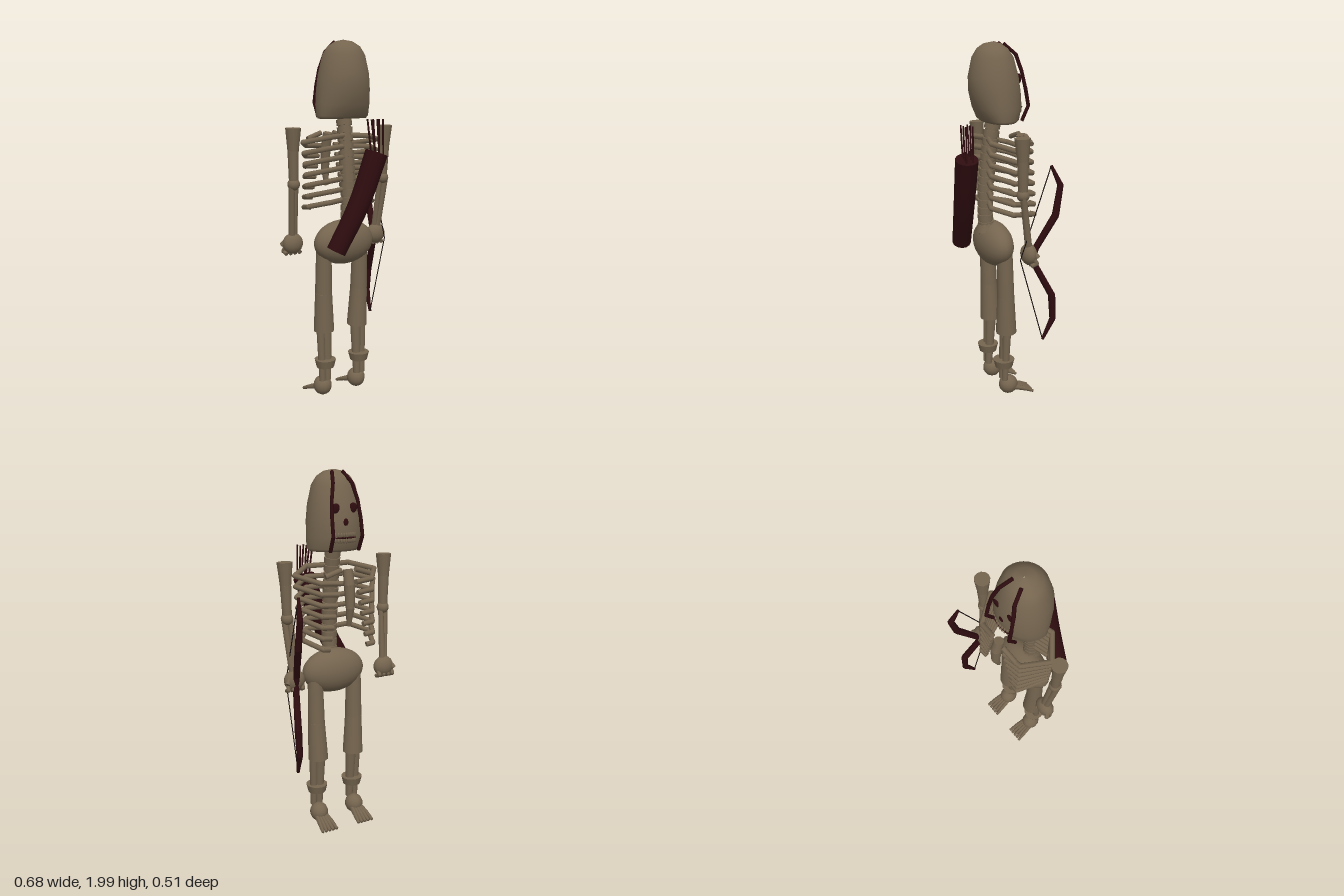
import * as THREE from 'three';
import { mergeGeometries, mergeVertices } from 'three/addons/utils/BufferGeometryUtils.js';

const boneMat = new THREE.MeshStandardMaterial({ color: 0x75654f });
boneMat.name = 'bone';
const darkMat = new THREE.MeshStandardMaterial({ color: 0x2e0c0f });
darkMat.name = 'dark leather';
const stringMat = new THREE.MeshStandardMaterial({ color: 0x18100e });
stringMat.name = 'string';

const UP = new THREE.Vector3(0, 1, 0);
const V = (p) => new THREE.Vector3(...p);

// tapered rod from a to b
function rod(a, b, ra, rb = ra, sides = 8) {
  const A = V(a), B = V(b), d = B.clone().sub(A);
  const g = new THREE.CylinderGeometry(rb, ra, d.length(), sides);
  g.applyQuaternion(new THREE.Quaternion().setFromUnitVectors(UP, d.normalize()));
  const m = A.add(B).multiplyScalar(0.5);
  return g.translate(m.x, m.y, m.z);
}

function ball(p, rx, ry = rx, rz = rx, seg = 14) {
  return new THREE.SphereGeometry(1, seg, Math.ceil(seg * 0.7)).scale(rx, ry, rz).translate(...p);
}

// rods through a list of points, with rounded joints
function chain(points, radii, sides = 8) {
  const r = (i) => (Array.isArray(radii) ? radii[i] : radii);
  const out = [];
  for (let i = 0; i < points.length - 1; i++) {
    out.push(rod(points[i], points[i + 1], r(i), r(i + 1), sides));
    if (i > 0) out.push(ball(points[i], r(i), r(i), r(i), sides));
  }
  return out;
}

export function createModel() {
  const group = new THREE.Group();
  const add = (name, geos, mat = boneMat) => {
    const mesh = new THREE.Mesh(mergeGeometries(geos), mat);
    mesh.name = name;
    group.add(mesh);
  };

  // skull: level = y, half width, back z, front z
  const levels = [
    [1.62, 0.002, 0.002, -0.002], [1.585, 0.145, 0.06, -0.115], [1.6, 0.155, 0.08, -0.13],
    [1.66, 0.154, 0.11, -0.145], [1.74, 0.15, 0.132, -0.14], [1.82, 0.14, 0.137, -0.128],
    [1.92, 0.118, 0.117, -0.1], [1.965, 0.09, 0.09, -0.07], [1.99, 0.05, 0.055, -0.035], [2, 0.002, 0.002, -0.002],
  ];
  let skull = new THREE.LatheGeometry(levels.map((l) => new THREE.Vector2(l[1], l[0])), 28);
  const sp = skull.attributes.position;
  for (let i = 0; i < sp.count; i++) {
    const [, rx, back, front] = levels[i % levels.length];
    const z = sp.getZ(i);
    sp.setZ(i, (z * (z > 0 ? back : -front)) / rx);
  }
  skull.deleteAttribute('uv');
  skull.deleteAttribute('normal');
  skull = mergeVertices(skull);
  skull.computeVertexNormals();
  add('skull', [skull]);

  // face: sockets, nose hole, mouth and two rows of teeth
  const face = [ball([0, 1.74, -0.139], 0.014, 0.02, 0.005)];
  for (const s of [-1, 1]) face.push(ball([0.05 * s, 1.81, -0.122], 0.024, 0.026, 0.008));
  add('eyeSocketsAndNose', face, darkMat);
  const teeth = [];
  for (let i = -4; i <= 4; i++) {
    const x = i * 0.014, z = -0.146 + x * x * 5;
    for (const y of [1.675, 1.645]) teeth.push(ball([x, y, z], 0.0065, 0.013, 0.007, 8));
  }
  add('teeth', teeth);
  add('mouth', [ball([0, 1.66, -0.137], 0.062, 0.006, 0.012)], darkMat);
  for (const s of [-1, 1]) {
    add('faceBand', chain([
      [0.03 * s, 1.99, -0.04], [0.055 * s, 1.935, -0.1], [0.075 * s, 1.85, -0.125],
      [0.083 * s, 1.76, -0.145], [0.085 * s, 1.67, -0.162], [0.083 * s, 1.59, -0.125],
    ], 0.01, 6), darkMat);
  }

  // spine of stacked vertebrae
  const spine = new THREE.CatmullRomCurve3([[0, 1.62, 0], [0, 1.45, 0.025], [0, 1.15, 0.052], [0, 0.95, 0.045]].map(V));
  const spineGeos = [];
  const N = 16;
  for (let i = 0; i < N; i++) {
    const a = spine.getPointAt(i / N).toArray(), b = spine.getPointAt((i + 0.75) / N).toArray();
    const c = spine.getPointAt((i + 1) / N).toArray();
    spineGeos.push(rod(a, b, 0.044, 0.044, 10), rod(b, c, 0.036, 0.036, 10));
  }
  add('spine', spineGeos);

  // ribs
  for (const s of [-1, 1]) {
    for (let i = 0; i < 7; i++) {
      const y = 1.495 - i * 0.058, w = 0.24 - i * 0.005;
      add('rib', chain([
        [0.02 * s, y, 0.04], [0.13 * s, y - 0.005, 0.072], [w * s, y - 0.033, -0.022],
        [0.15 * s, y - 0.06, -0.15 - i * 0.004], [(0.045 + i * 0.011) * s, y - 0.065, -0.17],
      ], 0.0145, 7));
    }
    add('collarBone', [rod([0.13 * s, 1.47, -0.162], [0.04 * s, 1.5, -0.168], 0.014)]);
  }
  add('breastbone', chain([[0, 1.5, -0.16], [0, 1.42, -0.18], [0, 1.3, -0.19], [0, 1.2, -0.175]],
    [0.026, 0.03, 0.024, 0.012], 10));

  // pelvis
  add('pelvis', [ball([0, 0.905, 0.005], 0.185, 0.125, 0.095, 24),
    rod([0, 0.98, 0.045], [0, 1.03, 0.048], 0.06, 0.042, 12)]);

  for (const s of [-1, 1]) {
    const p = (x, y, z) => [x * s, y, z];
    // arms
    add('upperArm', [
      rod(p(0.293, 1.25, -0.035), p(0.297, 1.42, -0.03), 0.025, 0.03, 12),
      rod(p(0.297, 1.42, -0.03), p(0.298, 1.54, -0.025), 0.03, 0.042, 12),
      ball(p(0.293, 1.24, -0.035), 0.034)]);
    add('forearm', [
      rod(p(0.308, 1.24, -0.03), p(0.285, 0.95, -0.075), 0.017, 0.019),
      rod(p(0.278, 1.24, -0.04), p(0.268, 0.95, -0.08), 0.015, 0.017)]);
    const hand = [ball(p(0.277, 0.91, -0.08), 0.06, 0.058, 0.042)];
    for (let i = 0; i < 4; i++) {
      const x = 0.235 + i * 0.028;
      hand.push(...chain([p(x, 0.9, -0.085), p(x + 0.004, 0.868, -0.105), p(x, 0.855, -0.075)], 0.0125, 6));
    }
    hand.push(...chain([p(0.31, 0.93, -0.09), p(0.33, 0.9, -0.11)], 0.014, 6));
    add('hand', hand);

    // legs
    add('thigh', [rod(p(0.112, 0.4, -0.027), p(0.118, 0.62, -0.02), 0.058, 0.048, 14),
      rod(p(0.118, 0.62, -0.02), p(0.12, 0.87, -0.012), 0.048, 0.043, 14)]);
    add('shin', [rod(p(0.1, 0.11, -0.01), p(0.1, 0.42, -0.025), 0.021, 0.032, 10),
      rod(p(0.134, 0.11, -0.01), p(0.139, 0.42, -0.02), 0.018, 0.024, 10)]);
    add('ankleRing', [rod(p(0.114, 0.19, -0.012), p(0.114, 0.235, -0.012), 0.05, 0.061, 14)]);
    const foot = [ball(p(0.115, 0.07, -0.04), 0.052, 0.055, 0.055)];
    for (let i = -2; i <= 2; i++) {
      foot.push(...chain([p(0.115 + i * 0.013, 0.055, -0.07), p(0.115 + i * 0.018, 0.038, -0.125),
        p(0.115 + i * 0.022, 0.014, -0.18)], [0.016, 0.013, 0.009], 6));
    }
    add('foot', foot);
  }

  // quiver, a curved tapered tube with closed ends
  const path = new THREE.CatmullRomCurve3([[-0.135, 0.89, 0.14], [-0.01, 1.14, 0.172], [0.085, 1.405, 0.192]].map(V));
  const quiver = new THREE.TubeGeometry(path, 12, 0.06, 14);
  const qp = quiver.attributes.position, v = new THREE.Vector3();
  for (let i = 0; i < qp.count; i++) {
    const t = Math.floor(i / 15) / 12, c = path.getPointAt(t);
    v.fromBufferAttribute(qp, i).sub(c).multiplyScalar(0.88 + 0.15 * t).add(c);
    qp.setXYZ(i, v.x, v.y, v.z);
  }
  const end = (t, dir, r) => {
    const c = path.getPointAt(t);
    return rod(c.toArray(), c.clone().addScaledVector(path.getTangentAt(t), dir * 0.004).toArray(), r, r, 14);
  };
  add('quiver', [quiver, end(0, -1, 0.0528), end(1, 1, 0.0618)], darkMat);

  // arrows
  const arrows = [];
  for (const z of [0.17, 0.207]) {
    for (let i = 0; i < 3; i++) arrows.push(rod([0.07 + i * 0.025, 1.38, z], [0.042 + i * 0.037, 1.585, z], 0.005, 0.005, 6));
  }
  add('arrows', arrows, darkMat);

  // bow held in the left hand, with a drawn string
  const upper = [[0.28, 0.89, -0.105], [0.282, 0.94, -0.118], [0.315, 1.12, -0.215], [0.315, 1.28, -0.24], [0.3, 1.385, -0.192]];
  const lower = [[0.28, 0.89, -0.105], [0.282, 0.85, -0.112], [0.315, 0.67, -0.203], [0.313, 0.53, -0.213], [0.3, 0.41, -0.16]];
  const girth = [0.016, 0.018, 0.02, 0.017, 0.008];
  add('bow', [...chain(upper, girth), ...chain(lower, girth)], darkMat);
  add('bowString', chain([upper[4], [0.3, 0.89, -0.02], lower[4]], 0.003, 5), stringMat);

  return group;
}
